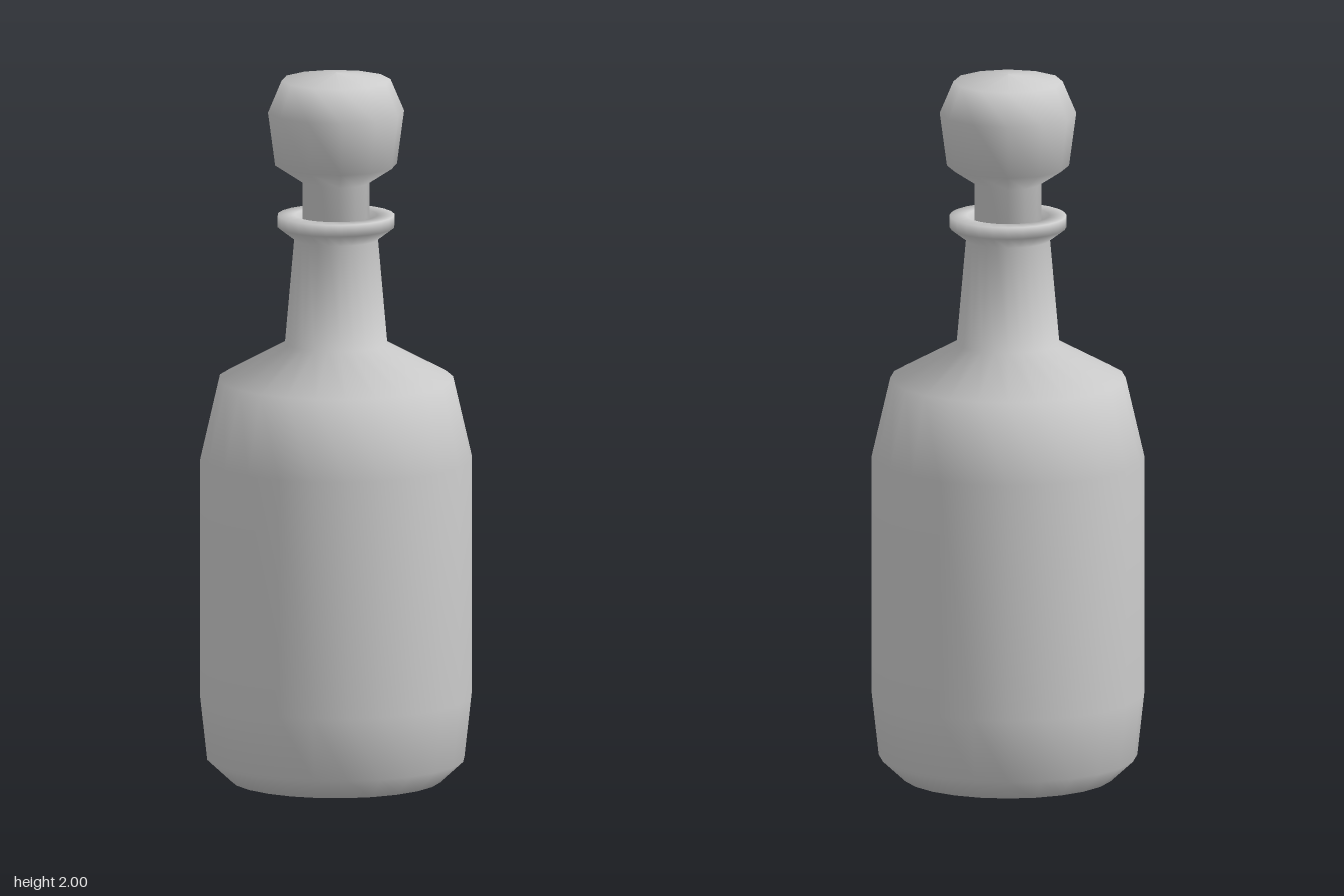
import * as THREE from 'three';

const material = new THREE.MeshStandardMaterial({ color: 0xcccccc });

// Turn a profile of [radius, height] pairs around the y axis
function turned(name, profile, sides) {
  const points = profile.map(([r, y]) => new THREE.Vector2(r, y));
  const mesh = new THREE.Mesh(new THREE.LatheGeometry(points, sides), material);
  mesh.name = name;
  return mesh;
}

export function createModel() {
  const group = new THREE.Group();
  group.name = 'decanter';

  // Base, body, shoulder, neck, flared lip and the throat inside it
  group.add(turned('bottle', [
    [0, 0], [0.295, 0], [0.36, 0.06], [0.38, 0.24], [0.38, 0.91],
    [0.328, 1.135], [0.143, 1.235], [0.117, 1.53], [0.163, 1.565],
    [0.163, 1.598], [0.115, 1.598], [0.1, 1.54], [0.1, 1.4], [0, 1.4],
  ], 24));

  // Stem set into the throat, with a rounded faceted knob
  group.add(turned('stopper', [
    [0, 1.42], [0.093, 1.42], [0.093, 1.69], [0.17, 1.74],
    [0.19, 1.89], [0.152, 1.98], [0, 2],
  ], 12));

  return group;
}
